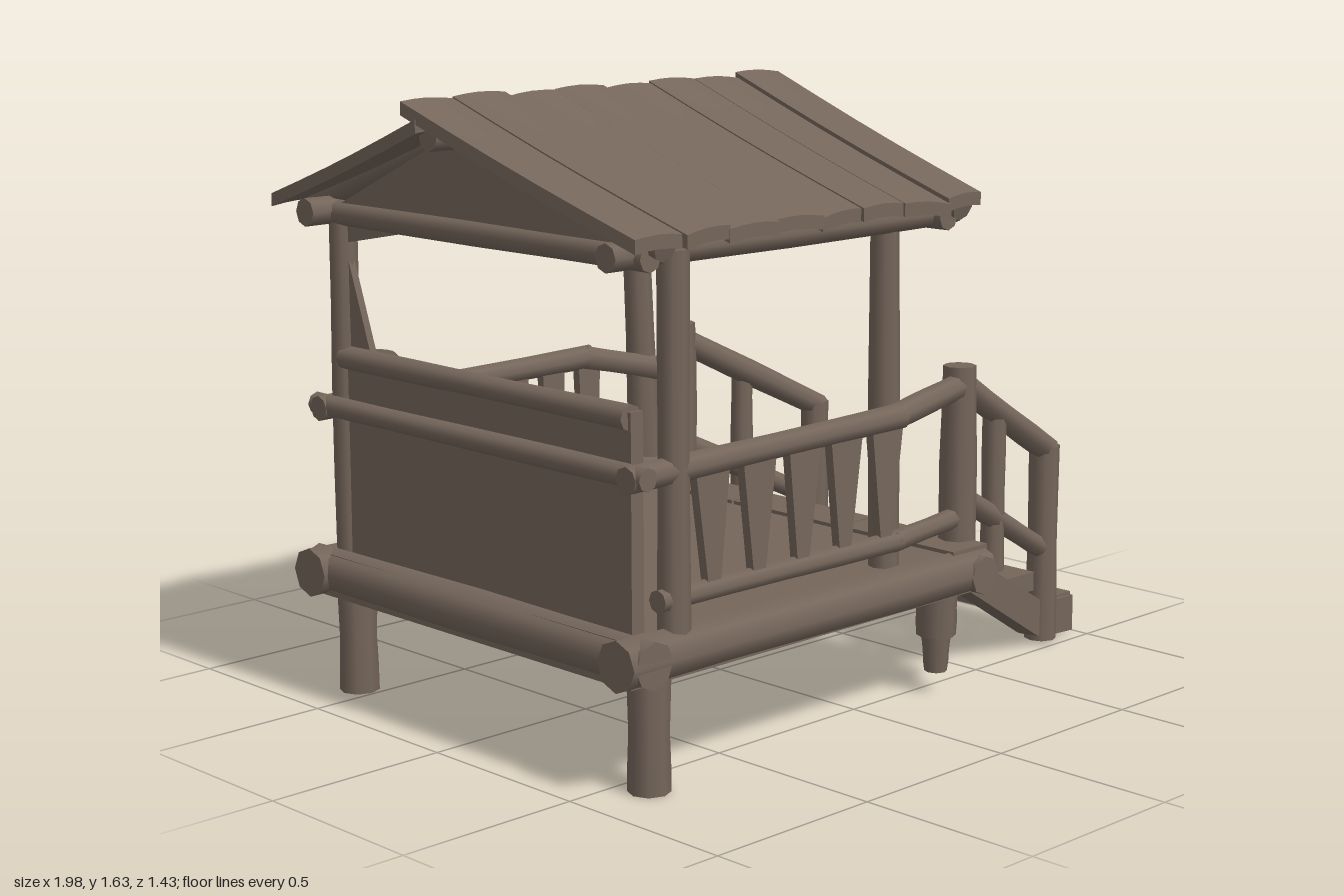
import * as THREE from 'three';

const V = (x, y, z) => new THREE.Vector3(x, y, z);

export function createModel() {
  const model = new THREE.Group();
  model.name = 'stiltHut';
  const wood = new THREE.MeshStandardMaterial({ color: 0x75665b });
  wood.name = 'weathered wood';

  let seed = 7;
  const rand = () => (seed = (seed * 16807) % 2147483647) / 2147483647;
  const jit = (a) => (rand() - 0.5) * 2 * a;

  function add(name, geo, parent) {
    const m = new THREE.Mesh(geo, wood);
    m.name = name;
    parent.add(m);
    return m;
  }
  function group(name) {
    const g = new THREE.Group();
    g.name = name;
    model.add(g);
    return g;
  }
  // Slightly lumpy log between two points
  function log(name, a, b, r0, r1, parent) {
    const len = a.distanceTo(b);
    const geo = new THREE.CylinderGeometry(r1, r0, len, 8, 4);
    const p = geo.attributes.position;
    const ph = rand() * 6;
    for (let i = 0; i < p.count; i++) {
      const k = 1 + 0.04 * Math.sin((p.getY(i) / len) * 7 + ph);
      p.setX(i, p.getX(i) * k);
      p.setZ(i, p.getZ(i) * k);
    }
    const m = add(name, geo, parent);
    m.position.copy(a).add(b).multiplyScalar(0.5);
    m.quaternion.setFromUnitVectors(V(0, 1, 0), b.clone().sub(a).normalize());
    return m;
  }
  function box(name, x0, x1, y0, y1, z0, z1, parent) {
    const m = add(name, new THREE.BoxGeometry(x1 - x0, y1 - y0, z1 - z0), parent);
    m.position.set((x0 + x1) / 2, (y0 + y1) / 2, (z0 + z1) / 2);
    return m;
  }
  // Flat outline in x/y, extruded along z by a depth and centred
  function slab(name, pts, depth, parent) {
    const s = new THREE.Shape(pts.map(([x, y]) => new THREE.Vector2(x, y)));
    const geo = new THREE.ExtrudeGeometry(s, { depth, bevelEnabled: false });
    geo.translate(0, 0, -depth / 2);
    return add(name, geo, parent);
  }
  // Flat outline in z/y, standing across the hut at a given x
  function crossSlab(name, pts, depth, x, parent) {
    const m = slab(name, pts.map(([z, y]) => [-z, y]), depth, parent);
    m.rotation.y = Math.PI / 2;
    m.position.x = x;
  }

  // Deck: floor slab, rim logs and the boards at the stair end
  const deck = group('deck');
  box('floor', -0.9, 0.36, 0.285, 0.4, -0.61, 0.61, deck);
  for (const s of [1, -1]) log('deckSideLog', V(-0.94, 0.35, s * 0.6), V(0.39, 0.345, s * 0.6), 0.064, 0.06, deck);
  log('deckWallLog', V(-0.87, 0.35, -0.65), V(-0.87, 0.35, 0.66), 0.062, 0.062, deck);
  log('deckStairLog', V(0.34, 0.34, -0.65), V(0.34, 0.34, 0.66), 0.058, 0.055, deck);
  for (let i = 0; i < 3; i++) {
    const z = -0.62 + i * 0.415;
    box('edgeBoard', 0.26, 0.4 + jit(0.008), 0.37, 0.41, z, z + 0.405, deck);
  }

  // Legs
  const legs = group('legs');
  log('wallLegFront', V(-0.815, 0.01, 0.58), V(-0.815, 0.3, 0.58), 0.052, 0.052, legs);
  log('wallLegBack', V(-0.815, 0.01, -0.56), V(-0.815, 0.3, -0.56), 0.052, 0.052, legs);
  log('stairLegBack', V(0.27, 0.01, -0.56), V(0.27, 0.3, -0.56), 0.048, 0.052, legs);
  log('stairLegFront', V(0.27, 0.17, 0.55), V(0.27, 0.32, 0.55), 0.052, 0.06, legs);
  log('stairLegFrontTip', V(0.27, 0.07, 0.55), V(0.27, 0.18, 0.55), 0.03, 0.042, legs);

  // Roof posts
  const posts = group('roofPosts');
  log('postFrontWall', V(-0.745, 0.38, 0.595), V(-0.745, 1.32, 0.595), 0.04, 0.038, posts);
  log('postFrontStair', V(0.06, 0.38, 0.545), V(0.05, 1.32, 0.545), 0.042, 0.038, posts);
  log('postBackWall', V(-0.83, 0.38, -0.56), V(-0.83, 1.32, -0.56), 0.04, 0.038, posts);
  log('postBackStair', V(0.25, 0.38, -0.56), V(0.205, 1.32, -0.56), 0.048, 0.038, posts);

  // End wall with its cross logs, corner gussets and an inner panel set at an angle
  const wall = group('endWall');
  box('wallPanel', -0.85, -0.81, 0.39, 0.94, -0.56, 0.56, wall);
  log('wallTopLog', V(-0.84, 0.925, -0.55), V(-0.84, 0.925, 0.55), 0.032, 0.032, wall);
  log('wallRailLog', V(-0.87, 0.795, -0.64), V(-0.87, 0.795, 0.64), 0.03, 0.03, wall);
  const inner = slab('innerPanel', [[0, 0.4], [0.4, 0.4], [0.4, 0.84], [0.22, 0.9], [0, 0.9]], 0.03, wall);
  inner.position.set(-0.8, 0, -0.16);
  inner.rotation.y = 1.1;
  slab('wallBrace', [[-0.82, 0.95], [-0.71, 0.93], [-0.6, 0.83], [-0.72, 0.8], [-0.82, 0.8]], 0.03, wall).position.z = -0.53;
  crossSlab('lowerGusset', [[-0.44, 0.94], [-0.54, 1.22], [-0.54, 0.94]], 0.02, -0.83, wall);
  crossSlab('upperGusset', [[-0.23, 1.29], [-0.54, 1.29], [-0.54, 1.23]], 0.02, -0.83, wall);

  // Side railings: rails filled with planks that narrow towards the foot
  function railing(name, s, end, endLow, planks, last, wt, wb) {
    const g = group(name);
    const z = s * 0.595;
    log('topRail', V(-0.9, 0.79, z), V(0.06, 0.805, z), 0.034, 0.034, g);
    log('topRailEnd', V(0.04, 0.805, z), end, 0.034, 0.036, g);
    log('lowerRail', V(-0.8, 0.48, z), V(0.06, 0.475, z), 0.028, 0.028, g);
    log('lowerRailEnd', V(0.04, 0.475, z), endLow, 0.028, 0.028, g);
    for (let i = 0; i < planks; i++) {
      const x = -0.62 + (i * (last + 0.62)) / (planks - 1);
      const lean = jit(0.008);
      slab('railPlank', [[x - wb, 0.47], [x + wb, 0.47], [x + wt + lean, 0.8], [x - wt + lean, 0.8]], 0.025, g).position.z = z;
    }
  }
  railing('frontRailing', 1, V(0.39, 0.83, 0.52), V(0.39, 0.47, 0.52), 5, 0.0, 0.06, 0.018);
  railing('backRailing', -1, V(0.33, 0.74, -0.5), V(0.33, 0.47, -0.5), 6, 0.05, 0.042, 0.026);

  // Stairs: stringers, treads, newels and sloping handrails
  const stairs = group('stairs');
  for (const s of [1, -1]) {
    const top = s > 0 ? V(0.385, 0, 0.52) : V(0.325, 0, -0.495);
    const at = (x, y) => V(x, y, s * (0.515 - (x - 0.39) * 0.15));
    const str = slab('stringer', [[0.36, 0.3], [0.82, 0.03], [0.99, 0.015], [0.99, 0.12], [0.9, 0.125], [0.82, 0.14], [0.4, 0.375], [0.36, 0.38]], 0.075, stairs);
    str.position.z = s * 0.515;
    str.rotation.y = s * 0.1;
    log('newel', V(top.x, 0.36, top.z), V(top.x, 0.885, top.z), 0.052, 0.046, stairs);
    log('handrail', V(top.x, 0.835, top.z), at(0.87, 0.565), 0.038, 0.036, stairs);
    log('midRail', V(top.x, 0.53, top.z), at(0.86, 0.275), 0.032, 0.03, stairs);
    log('lowerNewel', at(0.85, 0.02), at(0.85, 0.585), 0.044, 0.042, stairs);
    log('midStake', at(0.575, 0.28), at(0.575, 0.74), 0.034, 0.032, stairs);
  }
  [[0.48, 0.63, 0.3], [0.64, 0.8, 0.2], [0.825, 0.985, 0.105]].forEach(([x0, x1, y], i) => {
    const hz = 0.47 - i * 0.012;
    box('tread', x0, x1, y - 0.03, y + 0.025, -hz, hz, stairs);
  });
  const corner = slab('stairGusset', [[0.4, 0.44], [0.5, 0.44], [0.5, 0.2]], 0.02, stairs);
  corner.rotation.x = -Math.PI / 2;
  corner.position.y = 0.315;

  // Roof frame: eave beams, tie beams, rafters, ridge log and gable boards
  const frame = group('roofFrame');
  for (const s of [1, -1]) log('eaveBeam', V(-0.94, 1.315, s * 0.575), V(0.28, 1.315, s * 0.575), 0.036, 0.036, frame);
  log('ridgeLog', V(-0.95, 1.545, -0.05), V(0.26, 1.545, -0.05), 0.034, 0.034, frame);
  for (const x of [-0.85, 0.2]) {
    log('tieBeam', V(x, 1.31, -0.63), V(x, 1.31, 0.63), 0.034, 0.034, frame);
    for (const s of [1, -1]) log('rafter', V(x + 0.02, 1.335, s * 0.66), V(x + 0.02, 1.565, -0.05), 0.036, 0.034, frame);
    crossSlab('gableBoard', [[0.56, 1.32], [-0.56, 1.32], [-0.05, 1.555]], 0.025, x, frame);
  }

  // Roof planks: each runs from ridge to eave, warped and ragged at the ends
  function roofSide(name, ridge, eave) {
    const g = group(name);
    const n = 8;
    const edge = (u, t) => THREE.MathUtils.lerp(-0.99 + t * 0.04, 0.33 - t * 0.06, u);
    for (let i = 0; i < n; i++) {
      const geo = new THREE.BoxGeometry(1, 1, 1, 4, 1, 5);
      const p = geo.attributes.position;
      const t0 = jit(0.01), t1 = 1 + jit(0.015), tilt = jit(0.01), lift = (i % 2) * 0.004;
      const skew = jit(0.04);
      for (let k = 0; k < p.count; k++) {
        const w = p.getX(k), f = p.getZ(k) + 0.5;
        const t = THREE.MathUtils.lerp(t0, t1 + skew * w, f);
        const x = edge((i + 0.5 + w * 1.02) / n, t);
        const y = THREE.MathUtils.lerp(ridge[1], eave[1], t) - 0.02 + p.getY(k) * 0.034
          + lift + tilt * w + 0.006 * Math.cos(w * Math.PI) - 0.006 * Math.sin(t * Math.PI);
        p.setXYZ(k, x, y, THREE.MathUtils.lerp(ridge[0], eave[0], t));
      }
      // Keep the faces outward on the mirrored slope
      if (eave[0] < ridge[0]) {
        const ix = geo.index;
        for (let k = 0; k < ix.count; k += 3) {
          const a = ix.getX(k);
          ix.setX(k, ix.getX(k + 1));
          ix.setX(k + 1, a);
        }
      }
      geo.computeVertexNormals();
      add('roofPlank', geo, g);
    }
  }
  roofSide('frontRoof', [-0.1, 1.635], [0.69, 1.37]);
  roofSide('backRoof', [-0.04, 1.6], [-0.7, 1.36]);

  return model;
}
